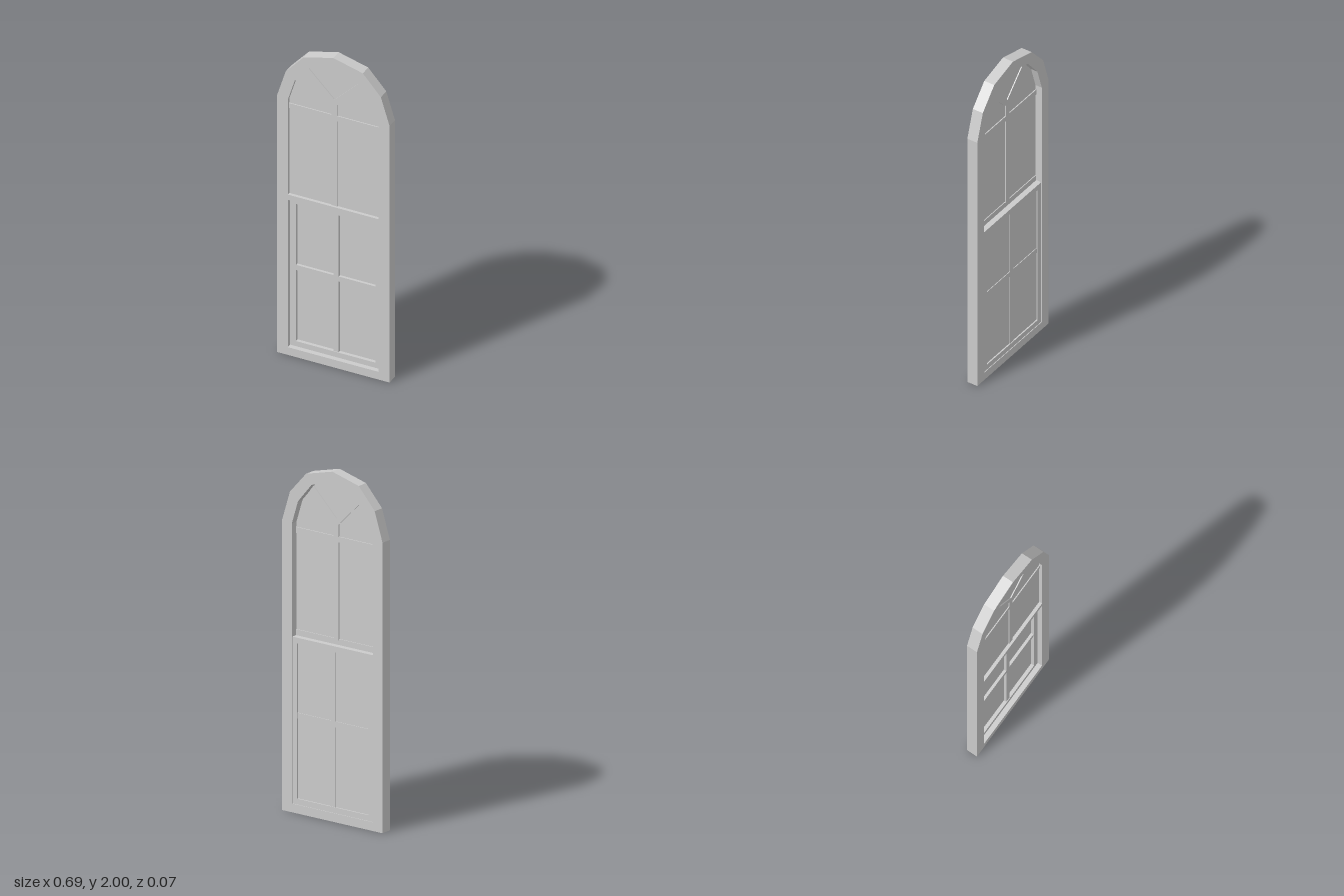
import * as THREE from 'three';

const material = new THREE.MeshStandardMaterial({ color: 0xcccccc, flatShading: true });

// Right half of each arched outline, from the bottom up to the crown.
const OUTER = [[0.343, 0], [0.343, 1.66], [0.29, 1.83], [0.18, 1.953], [0, 2]];
const INNER = [[0.277, 0.05], [0.277, 1.65], [0.235, 1.785], [0.142, 1.897], [0, 1.937]];

// Mirrors a half outline into a closed list of points.
function mirrored(half) {
  const left = half.filter(([x]) => x > 0).reverse().map(([x, y]) => [-x, y]);
  return [...half, ...left].map(([x, y]) => new THREE.Vector2(x, y));
}

function rectangle(halfWidth, y0, y1) {
  return mirrored([[halfWidth, y0], [halfWidth, y1]]);
}

export function createModel() {
  const model = new THREE.Group();
  model.name = 'archedWindow';

  function add(parent, name, geometry) {
    const mesh = new THREE.Mesh(geometry, material);
    mesh.name = name;
    parent.add(mesh);
    return mesh;
  }

  // Flat outline, optionally with a hole, extruded from z0 to z1.
  function panel(parent, name, outline, hole, z0, z1) {
    const shape = new THREE.Shape(outline);
    if (hole) shape.holes.push(new THREE.Path(hole));
    const geometry = new THREE.ExtrudeGeometry(shape, { depth: z1 - z0, bevelEnabled: false });
    geometry.translate(0, 0, z0);
    return add(parent, name, geometry);
  }

  // Straight bar between two points of the window plane.
  function bar(parent, name, [x0, y0], [x1, y1], width, z0, z1) {
    const length = Math.hypot(x1 - x0, y1 - y0);
    const mesh = add(parent, name, new THREE.BoxGeometry(length, width, z1 - z0));
    mesh.position.set((x0 + x1) / 2, (y0 + y1) / 2, (z0 + z1) / 2);
    mesh.rotation.z = Math.atan2(y1 - y0, x1 - x0);
    return mesh;
  }

  // Outer frame with its arched opening
  panel(model, 'frame', mirrored(OUTER), mirrored(INNER), -0.033, 0.033);

  // Upper light: meeting rail, glass and glazing bars
  const upper = new THREE.Group();
  upper.name = 'upperSash';
  model.add(upper);
  bar(upper, 'meetingRail', [-0.277, 1.02], [0.277, 1.02], 0.034, 0.004, 0.033);
  const upperOutline = mirrored([[0.277, 1.037], ...INNER.slice(1)]);
  panel(upper, 'upperGlass', upperOutline, null, 0.009, 0.014);
  const [ub, uf] = [0.003, 0.02];
  bar(upper, 'upperMullion', [0, 1.03], [0, 1.71], 0.033, ub, uf);
  bar(upper, 'springBar', [-0.28, 1.605], [0.28, 1.605], 0.033, ub, uf);
  for (const side of [-1, 1]) {
    bar(upper, 'archBar', [0, 1.7], [side * 0.18, 1.88], 0.033, ub, uf);
  }

  // Lower sash set towards the back
  const lower = new THREE.Group();
  lower.name = 'lowerSash';
  model.add(lower);
  panel(lower, 'lowerSashFrame', rectangle(0.277, 0.05, 1.003),
    rectangle(0.243, 0.083, 0.97), -0.029, 0.004);
  bar(lower, 'lowerGlass', [-0.243, 0.5265], [0.243, 0.5265], 0.887, -0.021, -0.016);
  const [lb, lf] = [-0.025, 0];
  bar(lower, 'lowerMullion', [0, 0.08], [0, 0.973], 0.033, lb, lf);
  bar(lower, 'lowerCrossBar', [-0.245, 0.5565], [0.245, 0.5565], 0.033, lb, lf);

  return model;
}
